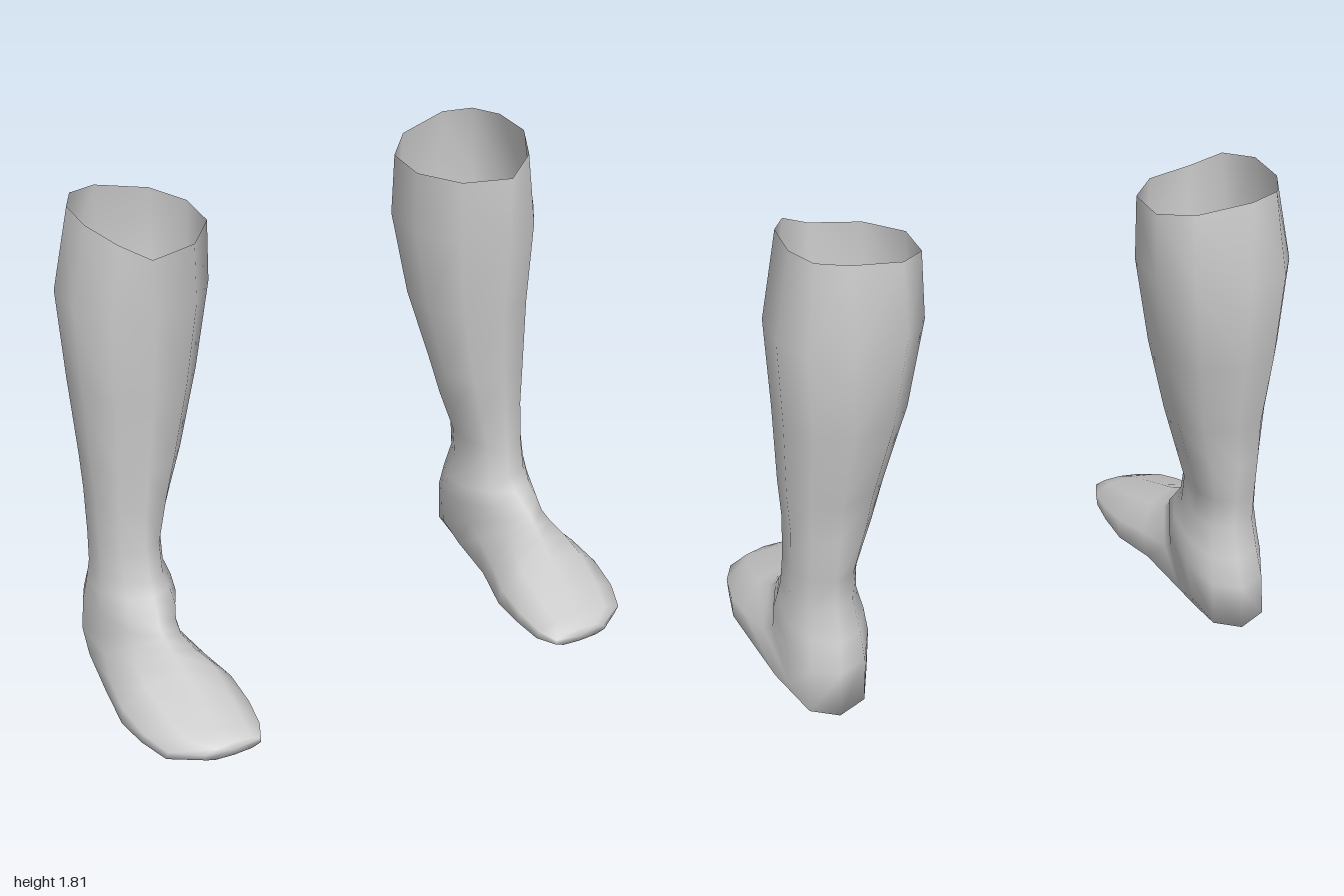
import * as THREE from 'three';

const SIDES = 10;

// Sections from the open top to the toes (left leg):
// [front z, front y, back z, back y, inner x, ridge x, outer x, where it is widest from front (0) to back (1), squareness of the back half]
const SECTIONS = [
  [-0.02, 1.73, -0.525, 1.80, 0.415, 0.70, 0.86, 0.54, 0.85],
  [-0.02, 1.50, -0.56, 1.50, 0.415, 0.70, 0.92, 0.52, 0.85],
  [-0.05, 1.17, -0.53, 1.17, 0.475, 0.71, 0.907, 0.5, 0.9],
  [-0.07, 0.87, -0.45, 0.87, 0.555, 0.735, 0.898, 0.5, 0.9],
  [-0.075, 0.72, -0.445, 0.72, 0.60, 0.75, 0.89, 0.5, 0.9],
  [-0.07, 0.55, -0.42, 0.55, 0.655, 0.76, 0.893, 0.5, 0.9],
  [-0.045, 0.43, -0.41, 0.43, 0.657, 0.76, 0.90, 0.5, 0.9],
  [-0.01, 0.39, -0.45, 0.31, 0.635, 0.765, 0.912, 0.48, 0.9],
  [0.04, 0.35, -0.48, 0.20, 0.625, 0.775, 0.925, 0.5, 0.85],
  [0.08, 0.32, -0.48, 0.025, 0.64, 0.785, 0.93, 0.55, 0.75],
  [0.12, 0.295, -0.30, 0.005, 0.645, 0.785, 0.95, 0.64, 0.65],
  [0.17, 0.265, 0.0, 0.04, 0.615, 0.78, 0.985, 0.75, 0.65],
  [0.25, 0.235, 0.2, 0.02, 0.575, 0.77, 1.0, 0.72, 0.7],
  [0.40, 0.175, 0.33, 0.028, 0.572, 0.76, 0.982, 0.64, 0.7],
  [0.50, 0.135, 0.45, 0.02, 0.585, 0.75, 0.94, 0.5, 0.75],
  [0.555, 0.11, 0.555, 0.055, 0.615, 0.72, 0.83, 0.5, 0.8],
];

// Rim heights, from the front round the outer side
const RIM = [1.73, 1.785, 1.813, 1.813, 1.808, 1.80, 1.765, 1.74, 1.735, 1.728];

function legGeometry(side) {
  const points = [], faces = [];
  const widest = Math.sin(Math.PI * 0.4);
  const face = (a, b, c) => (side > 0 ? faces.push(a, b, c) : faces.push(a, c, b));

  SECTIONS.forEach(([fz, fy, bz, by, inner, ridge, outer, mid, square], i) => {
    for (let j = 0; j < SIDES; j++) {
      const angle = (j / SIDES) * Math.PI * 2;
      const c = Math.cos(angle), s = Math.sin(angle);
      const power = c < 0 ? square : 1;
      const reach = Math.pow(Math.abs(s) / widest, power);
      const x = ridge + reach * (s > 0 ? outer - ridge : inner - ridge);
      const along = Math.pow(Math.abs(c), power);
      const t = c > 0 ? mid * (1 - along) : mid + (1 - mid) * along;
      const y = i === 0 ? RIM[j] : fy + (by - fy) * t;
      points.push(side * x, y, fz + (bz - fz) * t);
    }
  });

  // Skin between neighbouring sections
  for (let i = 0; i < SECTIONS.length - 1; i++) {
    for (let j = 0; j < SIDES; j++) {
      const k = (j + 1) % SIDES;
      const a = i * SIDES + j, b = i * SIDES + k;
      face(a, a + SIDES, b);
      face(b, a + SIDES, b + SIDES);
    }
  }

  // Closed toe end
  const last = (SECTIONS.length - 1) * SIDES;
  const tip = points.length / 3;
  points.push(side * 0.72, 0.082, 0.56);
  for (let j = 0; j < SIDES; j++) face(tip, last + ((j + 1) % SIDES), last + j);

  const geometry = new THREE.BufferGeometry();
  geometry.setAttribute('position', new THREE.Float32BufferAttribute(points, 3));
  geometry.setIndex(faces);
  geometry.computeVertexNormals();
  return geometry;
}

export function createModel() {
  const model = new THREE.Group();
  model.name = 'pairOfSocks';
  const fabric = new THREE.MeshStandardMaterial({ color: 0xcccccc, side: THREE.DoubleSide });
  fabric.name = 'light grey fabric';
  for (const side of [1, -1]) {
    const sock = new THREE.Mesh(legGeometry(side), fabric);
    sock.name = side > 0 ? 'leftSock' : 'rightSock';
    model.add(sock);
  }
  return model;
}
